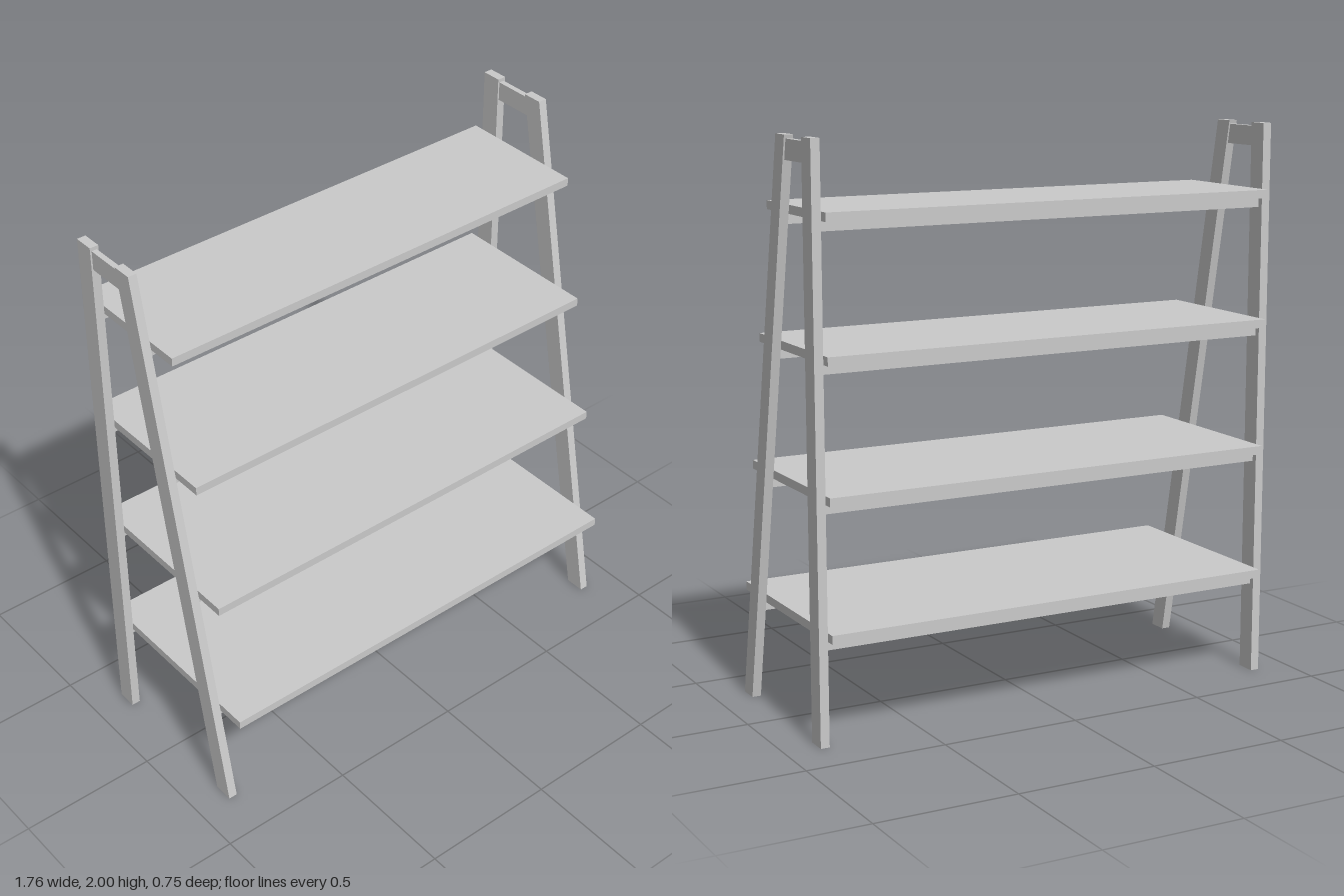
import * as THREE from 'three';

const material = new THREE.MeshStandardMaterial({ color: 0xcccccc, flatShading: true });

const INNER = 0.846, OUTER = 0.878;       // side frame faces in x
const BACK_Z = -0.303;                    // centre of the rear posts
const frontZ = (y) => 0.296 - 0.195 * y;  // centre of the leaning legs at height y

function box(name, w, h, d, x, y, z) {
  const mesh = new THREE.Mesh(new THREE.BoxGeometry(w, h, d), material);
  mesh.name = name;
  mesh.position.set(x, y, z);
  return mesh;
}

// Flat plate from a side outline of [z, y] points, centred on x
function sidePlate(name, points, thickness, x) {
  const shape = new THREE.Shape(points.map(([z, y]) => new THREE.Vector2(-z, y)));
  const geometry = new THREE.ExtrudeGeometry(shape, { depth: thickness, bevelEnabled: false });
  geometry.translate(0, 0, -thickness / 2).rotateY(Math.PI / 2);
  const mesh = new THREE.Mesh(geometry, material);
  mesh.name = name;
  mesh.position.x = x;
  return mesh;
}

// A-shaped side: upright rear post, leaning front leg, short top bar
function sideFrame(name, side) {
  const frame = new THREE.Group();
  frame.name = name;
  const x = side * (INNER + OUTER) / 2, t = OUTER - INNER, half = 0.036;
  frame.add(box('rearPost', t, 2, half * 2, x, 1, BACK_Z));
  frame.add(sidePlate('frontLeg', [
    [frontZ(0) + half, 0], [frontZ(0) - half, 0],
    [frontZ(2) - half, 2], [frontZ(2) + half, 2],
  ], t, x));
  frame.add(sidePlate('topBar', [
    [frontZ(1.918) - half, 1.918], [BACK_Z + half, 1.918],
    [BACK_Z + half, 1.987], [frontZ(1.987) - half, 1.987],
  ], 0.02, x));
  return frame;
}

export function createModel() {
  const model = new THREE.Group();
  model.name = 'ladderShelf';
  model.add(sideFrame('leftFrame', 1), sideFrame('rightFrame', -1));

  // Shelves grow deeper towards the floor, each on two rails
  const width = INNER * 2, thick = 0.03, railH = 0.035, railD = 0.034, back = -0.374;
  for (let i = 0; i < 4; i++) {
    const top = 0.392 + i * 0.4593;
    const front = 0.374 - i * 0.0893;
    const railY = top - thick - railH / 2;
    const shelf = new THREE.Group();
    shelf.name = `shelf${i + 1}`;
    shelf.add(
      box('board', width, thick, front - back, 0, top - thick / 2, (front + back) / 2),
      box('frontRail', width, railH, railD, 0, railY, frontZ(railY)),
      box('rearRail', width, railH, railD, 0, railY, BACK_Z),
    );
    model.add(shelf);
  }
  return model;
}
